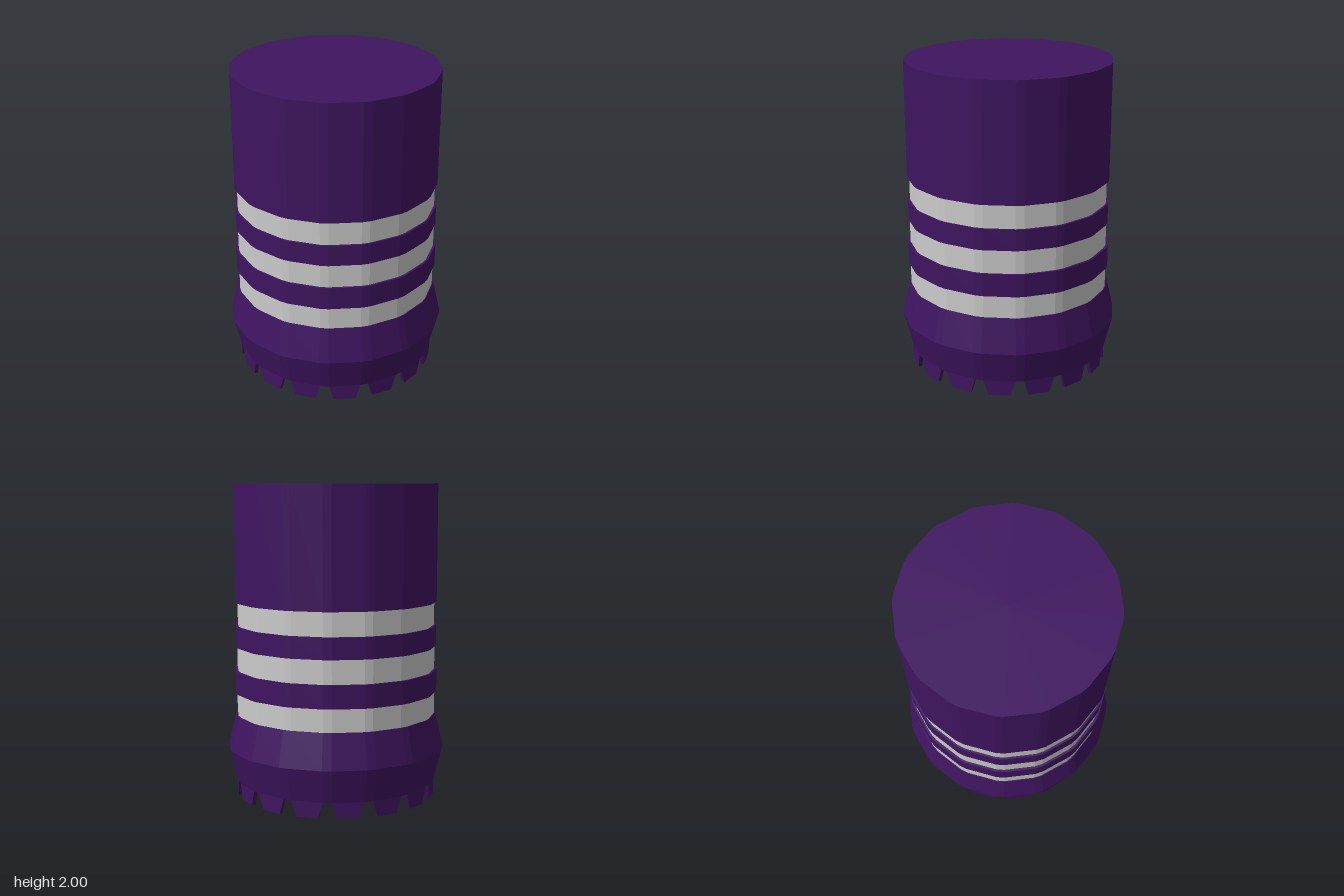
import * as THREE from 'three';

const SIDES = 16;
const STEP = (Math.PI * 2) / SIDES;
const CENTRE = THREE.MathUtils.degToRad(5.5); // middle of the first narrow facet
const HALF = THREE.MathUtils.degToRad(2.35); // half width of a narrow facet

// Wide facets alternate with narrow ones at the corners
const ANGLES = [];
for (let i = 0; i < SIDES; i++) ANGLES.push(CENTRE + i * STEP - HALF, CENTRE + i * STEP + HALF);

const purple = new THREE.MeshStandardMaterial({ color: 0x3f1460, flatShading: true });
const grey = new THREE.MeshStandardMaterial({ color: 0xcccccc, flatShading: true });

const point = (r, y, a) => new THREE.Vector3(r * Math.cos(a), y, r * Math.sin(a));

function quadsToGeometry(quads) {
  const pos = [];
  for (const [a, b, c, d] of quads) {
    for (const tri of [[a, b, c], [a, c, d]]) {
      const [p, q, r] = tri;
      if (p.distanceTo(q) < 1e-6 || q.distanceTo(r) < 1e-6 || r.distanceTo(p) < 1e-6) continue;
      for (const v of tri) pos.push(v.x, v.y, v.z);
    }
  }
  const geo = new THREE.BufferGeometry();
  geo.setAttribute('position', new THREE.Float32BufferAttribute(pos, 3));
  geo.computeVertexNormals();
  return geo;
}

// Sweep a [radius, height] profile around the faceted outline
function ring(profile) {
  const quads = [];
  ANGLES.forEach((a, i) => {
    const b = ANGLES[(i + 1) % ANGLES.length];
    for (let j = 0; j + 1 < profile.length; j++) {
      const [r0, y0] = profile[j];
      const [r1, y1] = profile[j + 1];
      quads.push([point(r0, y0, a), point(r1, y1, a), point(r1, y1, b), point(r0, y0, b)]);
    }
  });
  return quadsToGeometry(quads);
}

// Flat tooth hanging from one wide facet, narrowing to its tip
function tooth(i, inner, outer, top) {
  const a = CENTRE + i * STEP + HALF;
  const b = CENTRE + (i + 1) * STEP - HALF;
  const face = (r) => {
    const ta = point(r, top, a), tb = point(r, top, b);
    const ba = ta.clone().lerp(tb, 0.157).setY(0);
    const bb = ta.clone().lerp(tb, 0.843).setY(0);
    return [ba, ta, tb, bb];
  };
  const o = face(outer), n = face(inner);
  return quadsToGeometry([
    o,
    [n[3], n[2], n[1], n[0]],
    [n[0], n[1], o[1], o[0]],
    [o[3], o[2], n[2], n[3]],
    [n[0], o[0], o[3], n[3]],
  ]);
}

export function createModel() {
  const group = new THREE.Group();
  const add = (name, geo, mat, parent = group) => {
    const mesh = new THREE.Mesh(geo, mat);
    mesh.name = name;
    parent.add(mesh);
  };

  const INNER = 0.622;

  // Hollow lining and the flared collar, as one continuous wall
  add('collar', ring([
    [0, 1.96], [INNER, 1.96], [INNER, 0.1], [0.648, 0.1], [0.7, 0.31], [0.648, 0.53], [0.63, 0.53],
  ]), purple);

  // Recessed grey bands
  [[0.53, 0.675, 0.643], [0.82, 0.97, 0.64], [1.105, 1.255, 0.635]].forEach(([y0, y1, r], i) =>
    add(`greyBand${i + 1}`, ring([[r, y0], [r, y1]]), grey));

  // Raised rings between the bands
  [[0.675, 0.82, 0.655], [0.97, 1.105, 0.648]].forEach(([y0, y1, r], i) =>
    add(`raisedRing${i + 1}`, ring([[0.625, y0], [r, y0], [r, y1], [0.625, y1]]), purple));

  // Upper barrel with closed top
  add('barrel', ring([[0.625, 1.255], [0.65, 1.255], [0.65, 2], [0, 2]]), purple);

  // Teeth around the open bottom
  const teeth = new THREE.Group();
  teeth.name = 'teeth';
  for (let i = 0; i < SIDES; i++) add(`tooth${i + 1}`, tooth(i, INNER, 0.648, 0.1), purple, teeth);
  group.add(teeth);

  return group;
}
